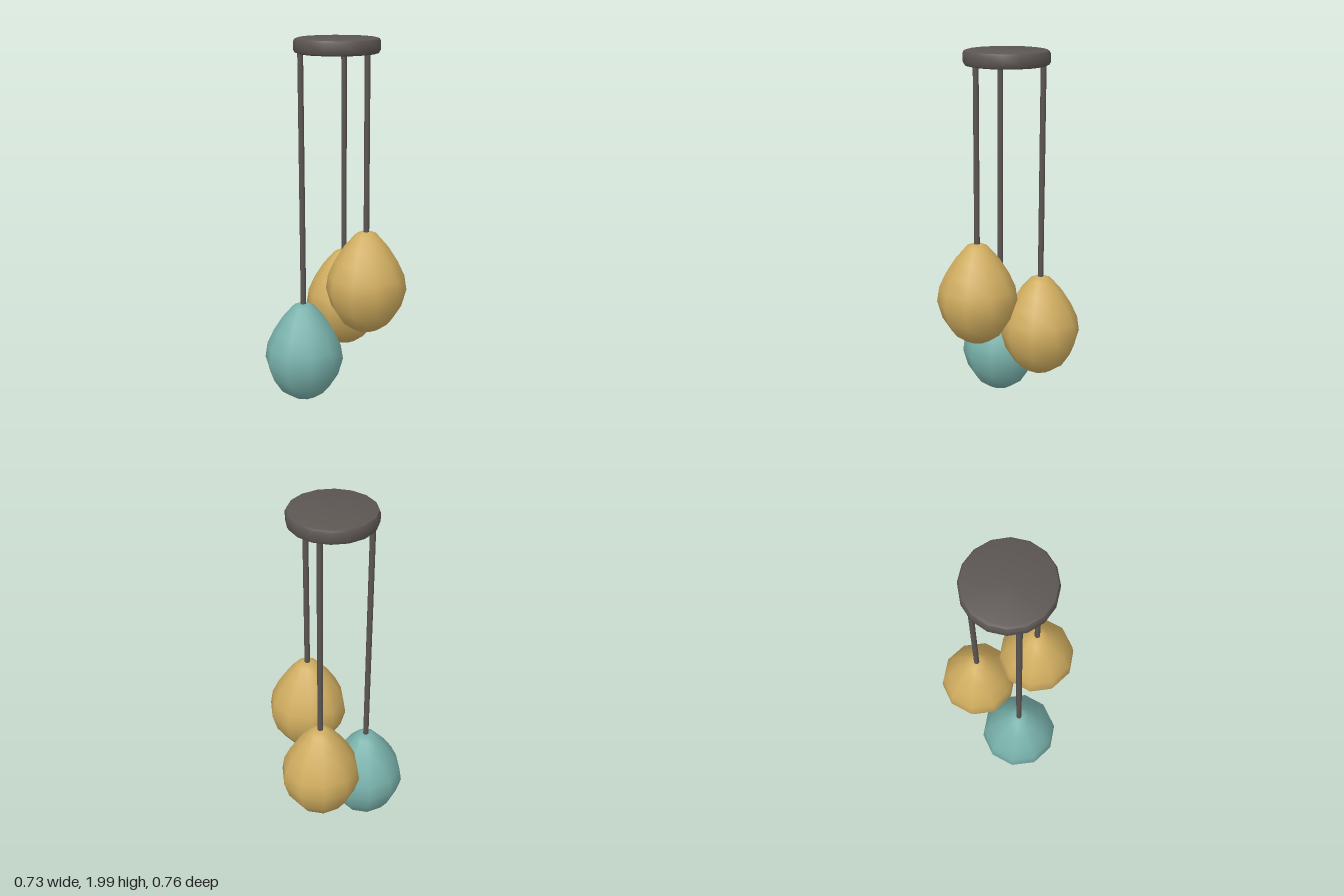
import * as THREE from 'three';
import { toCreasedNormals } from 'three/addons/utils/BufferGeometryUtils.js';

const points = (list) => list.map(([r, y]) => new THREE.Vector2(r, y));

// Teardrop shade profile, from bottom tip to top
const SHADE = points([
  [0, 0], [0.075, 0.024], [0.14, 0.072], [0.19, 0.15], [0.217, 0.245],
  [0.205, 0.325], [0.168, 0.405], [0.117, 0.485], [0.06, 0.55], [0.03, 0.564], [0, 0.565],
]);

// Ceiling plate profile with rounded rims
const CANOPY = points([
  [0, 1.92], [0.205, 1.92], [0.22, 1.925], [0.227, 1.938],
  [0.227, 1.982], [0.22, 1.995], [0.205, 2], [0, 2],
]);

export function createModel() {
  const group = new THREE.Group();
  const metal = new THREE.MeshStandardMaterial({ color: 0x5c5653 });
  const gold = new THREE.MeshStandardMaterial({ color: 0xcfac5f });
  const teal = new THREE.MeshStandardMaterial({ color: 0x78b0aa });

  const add = (name, geometry, material, x, y, z) => {
    const mesh = new THREE.Mesh(geometry, material);
    mesh.name = name;
    mesh.position.set(x, y, z);
    group.add(mesh);
  };

  const centreX = -0.05;
  add('ceilingPlate', toCreasedNormals(new THREE.LatheGeometry(CANOPY, 16), 0.75), metal, centreX, 0, 0);

  // Three pendants spaced evenly around the plate, each hanging lower
  const shade = new THREE.LatheGeometry(SHADE, 10, Math.PI / 2);
  const pendants = [
    { label: 'high', angle: 0, base: 0.435, material: gold },
    { label: 'middle', angle: -Math.PI * 2 / 3, base: 0.235, material: gold },
    { label: 'low', angle: Math.PI * 2 / 3, base: 0.008, material: teal },
  ];
  for (const { label, angle, base, material } of pendants) {
    const x = centreX + 0.2 * Math.cos(angle);
    const z = 0.2 * Math.sin(angle);
    const bottom = base + 0.55;
    const length = 1.93 - bottom;
    add(label + 'Cable', new THREE.CylinderGeometry(0.015, 0.015, length, 8), metal, x, bottom + length / 2, z);
    add(label + 'Shade', shade, material, x, base, z);
  }
  return group;
}
